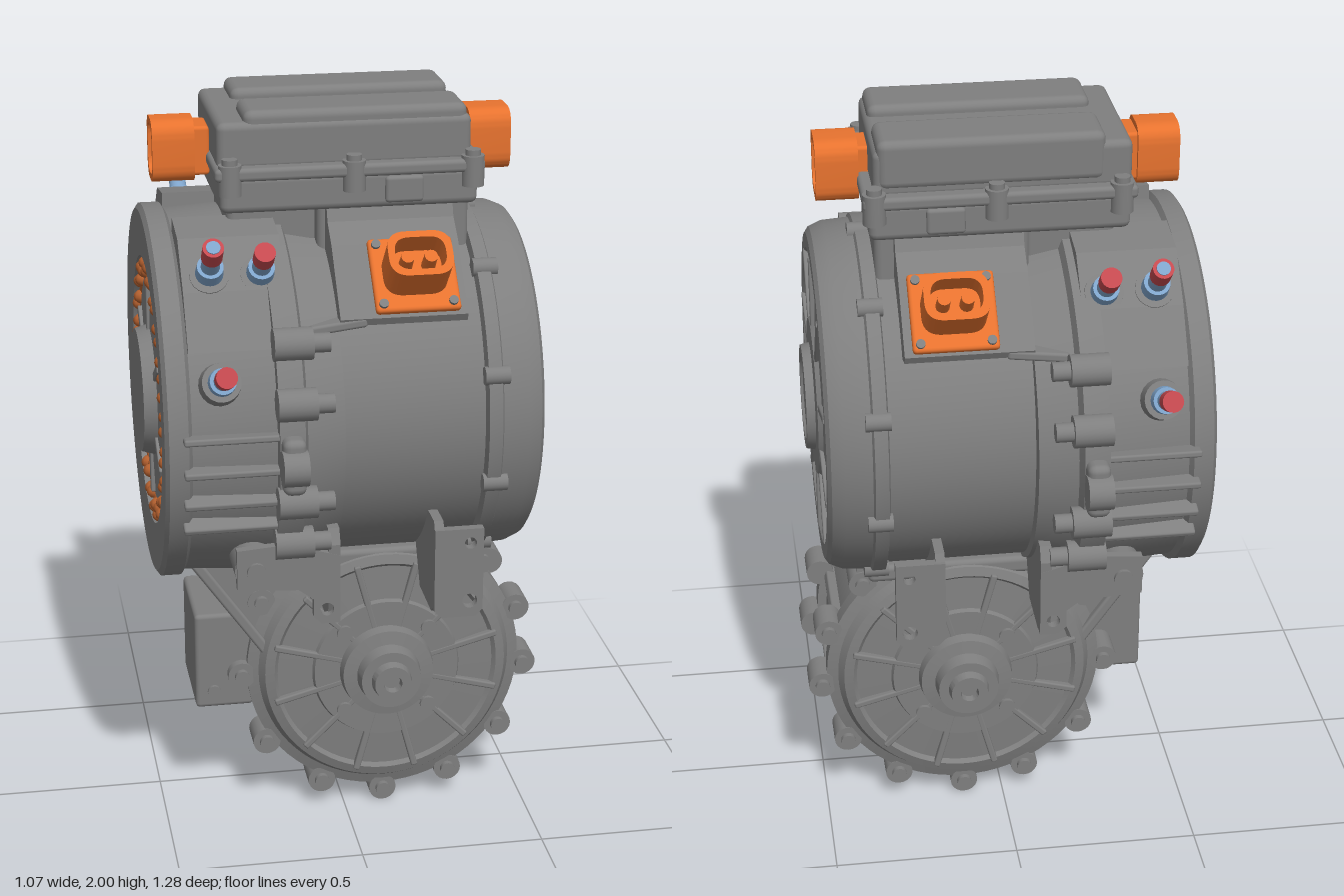
import * as THREE from 'three';
import { toCreasedNormals } from 'three/addons/utils/BufferGeometryUtils.js';
import { RoundedBoxGeometry } from 'three/addons/geometries/RoundedBoxGeometry.js';

const mat = (name, color) => Object.assign(new THREE.MeshStandardMaterial({ color }), { name });
const V = (x, y, z) => new THREE.Vector3(x, y, z);
const UP = V(0, 1, 0);
const rad = THREE.MathUtils.degToRad;

export function createModel() {
  const model = new THREE.Group();
  model.name = 'electricDriveUnit';
  const grey = mat('castGrey', 0x7f7f7f), orange = mat('connectorOrange', 0xe8732f);
  const blue = mat('fittingBlue', 0x7fa5cc), red = mat('capRed', 0xc64a50), copper = mat('windingCopper', 0xb4602f);

  const add = (name, geo, m = grey, parent = model) => {
    const mesh = new THREE.Mesh(geo, m);
    mesh.name = name;
    parent.add(mesh);
    return mesh;
  };
  const box = (name, w, h, d, x, y, z, r = 0.01, m = grey, parent = model) => {
    const b = add(name, new RoundedBoxGeometry(w, h, d, 2, r), m, parent);
    b.position.set(x, y, z);
    return b;
  };
  const rod = (name, a, b, r1, r2 = r1, m = grey, parent = model, seg = 20) => {
    const dir = b.clone().sub(a);
    const c = add(name, new THREE.CylinderGeometry(r2, r1, dir.length(), seg), m, parent);
    c.position.copy(a).add(b).multiplyScalar(0.5);
    c.quaternion.setFromUnitVectors(UP, dir.normalize());
    return c;
  };
  const lathe = (pts) => toCreasedNormals(
    new THREE.LatheGeometry(pts.map(p => new THREE.Vector2(...p)), 72), 0.55);
  const shapeOf = (pts) => new THREE.Shape(pts.map(p => new THREE.Vector2(...p)));
  // Prism with a [z, y] section, running from x0 to x1
  const prismX = (name, pts, x0, x1) => add(name,
    new THREE.ExtrudeGeometry(shapeOf(pts), { depth: x1 - x0, bevelEnabled: false })
      .rotateY(-Math.PI / 2).translate(x1, 0, 0));
  // Prism with an [x, y] section, running from z0 to z1, with round holes [x, y, r]
  const prismZ = (name, pts, z0, z1, holes = []) => {
    const s = shapeOf(pts);
    for (const [x, y, r] of holes) s.holes.push(new THREE.Path().absarc(x, y, r, 0, Math.PI * 2, true));
    return add(name, new THREE.ExtrudeGeometry(s, { depth: z1 - z0, bevelEnabled: false }).translate(0, 0, z0));
  };
  // Point on a circle around the motor axis
  const CY = 1.2;
  const around = (x, r, a, zs = 1) => V(x, CY + r * Math.sin(a), r * Math.cos(a) * zs);

  // ---- Motor: end housing, flange, barrel and cap on the x axis
  const motorLathe = (name, pts, zs = 1) => {
    const m = add(name, lathe(pts).rotateZ(-Math.PI / 2).scale(1, 1, zs));
    m.position.y = CY;
  };
  motorLathe('endHousing', [[0, -0.53], [0.165, -0.53], [0.175, -0.495], [0.305, -0.49], [0.305, -0.47], [0.355, -0.47],
    [0.36, -0.505], [0.485, -0.51], [0.5, -0.5], [0.5, -0.45], [0.485, -0.44], [0.5, -0.2], [0, -0.2]], 1.04);
  motorLathe('jointFlange', [[0, -0.225], [0.505, -0.225], [0.505, -0.16], [0.48, -0.15], [0.46, -0.05], [0, -0.05]], 1.11);
  motorLathe('motorBarrel', [[0, -0.1], [0.46, -0.1], [0.46, 0.325], [0.485, 0.33], [0.485, 0.365], [0.475, 0.37],
    [0.47, 0.44], [0.455, 0.475], [0.44, 0.485], [0.4, 0.485], [0.39, 0.472], [0.22, 0.478], [0.21, 0.49],
    [0.145, 0.492], [0.14, 0.515], [0.115, 0.515], [0.11, 0.508], [0, 0.508]]);
  for (let i = 0; i < 10; i++) {
    const a = rad(18 + 36 * i), rib = box('capRib', 0.025, 0.27, 0.02, 0, 0, 0, 0.004);
    rib.position.copy(around(0.476, 0.27, a));
    rib.rotation.x = Math.PI / 2 - a;
    const p = around(0.32, 0.475, a);
    rod('capBolt', p, p.clone().setX(0.385), 0.024);
  }
  // Copper winding seen in the open end
  const ring = add('windingRing', new THREE.TorusGeometry(0.33, 0.018, 8, 60).rotateY(Math.PI / 2).scale(1, 1, 1.04), copper);
  ring.position.set(-0.475, CY, 0);
  for (let i = 0; i < 44; i++) {
    const a = i / 44 * Math.PI * 2;
    add('windingLoop', new THREE.SphereGeometry(0.019, 8, 6), copper)
      .position.copy(around(-0.491, 0.33 + (i % 2 ? 0.01 : -0.01), a, 1.04));
  }
  for (let i = 0; i < 6; i++) {
    const a = rad(60 * i + 30), rib = box('endPlateRib', 0.025, 0.13, 0.025, 0, 0, 0, 0.004);
    rib.position.copy(around(-0.49, 0.23, a));
    rib.rotation.x = Math.PI / 2 - a;
  }
  // Flange bolts, lugs and cooling ribs, mirrored front and back
  for (const s of [1, -1]) {
    for (const deg of [-32, -15, 15, 32]) {
      const p = around(-0.23, 0.51, rad(deg), 1.1 * s);
      rod('flangeEar', p, p.clone().setX(-0.13), 0.042);
      rod('flangeBolt', p.clone().setX(-0.13), p.clone().setX(-0.085), 0.025);
    }
    rod('sideLug', V(-0.225, 1.18, 0.59 * s), V(-0.16, 1.18, 0.59 * s), 0.046);
    box('sideLugWeb', 0.06, 0.15, 0.08, -0.192, 1.18, 0.56 * s, 0.02);
    for (const deg of [-24, -15, -5, 5]) {
      const rib = box('housingRib', 0.25, 0.018, 0.06, 0, 0, 0, 0.006);
      rib.position.copy(around(-0.34, 0.5, rad(deg), 1.04 * s));
      rib.rotation.x = -rad(deg) * s;
    }
    // Pad under the coolant fittings
    prismX('fittingPad', [[0.12 * s, 1.71], [0.25 * s, 1.69], [0.36 * s, 1.58], [0.45 * s, 1.45], [0.3 * s, 1.4], [0.1 * s, 1.5]], -0.44, -0.18);
    rod('housingFoot', V(-0.28, 0.86, 0.3 * s), V(-0.28, 0.86, 0.48 * s), 0.055);
    rod('housingFootBolt', V(-0.28, 0.86, 0.48 * s), V(-0.28, 0.86, 0.5 * s), 0.025);
  }

  // ---- Coolant fittings: boss, blue pipe and red cap along a direction
  const fitting = (base, dir, len, bore) => {
    const g = new THREE.Group();
    g.name = 'coolantFitting';
    g.position.copy(base);
    g.quaternion.setFromUnitVectors(UP, dir.normalize());
    model.add(g);
    rod('fittingBoss', V(0, -0.05, 0), V(0, 0.02, 0), 0.056, 0.05, grey, g);
    rod('fittingPipe', V(0, 0.01, 0), V(0, len * 0.7, 0), 0.027, 0.022, blue, g);
    rod('fittingCollar', V(0, len * 0.18, 0), V(0, len * 0.4, 0), 0.036, 0.034, blue, g);
    rod('fittingCap', V(0, len * 0.68, 0), V(0, len, 0), 0.027, 0.027, red, g);
    if (bore) rod('fittingBore', V(0, len, 0), V(0, len + 0.003, 0), 0.018, 0.018, blue, g);
  };
  for (const s of [1, -1]) {
    fitting(V(-0.37, 1.6, 0.315 * s), V(0, 0.7, 0.7 * s), 0.165, true);
    fitting(V(-0.24, 1.6, 0.315 * s), V(0, 0.65, 0.75 * s), 0.15, false);
    fitting(V(-0.365, 1.385, 0.5 * s), V(0, 0.42, 0.9 * s), 0.14, false);
  }

  // ---- Neck and connector shoulders above the barrel
  const half = [[0.2, 1.78], [0.23, 1.71], [0.29, 1.665], [0.43, 1.51], [0.42, 1.49], [0.34, 1.47]];
  prismX('connectorShoulder', [...half, ...half.map(([z, y]) => [-z, y]).reverse()], -0.05, 0.28);
  box('boxNeck', 0.4, 0.2, 0.38, 0.13, 1.67, 0, 0.02);
  box('boxFoot', 0.24, 0.16, 0.3, -0.18, 1.67, 0, 0.02);
  for (const s of [1, -1]) box('shoulderBrace', 0.16, 0.025, 0.12, -0.06, 1.49, 0.37 * s, 0.008).rotation.z = 0.12;

  // ---- Inverter box on top
  box('boxTray', 0.67, 0.1, 0.46, 0.01, 1.79, 0, 0.02);
  box('boxRim', 0.7, 0.035, 0.49, 0.01, 1.845, 0, 0.012);
  box('boxLid', 0.66, 0.125, 0.42, 0, 1.91, 0, 0.02);
  for (const s of [1, -1]) {
    box('lidRidge', 0.58, 0.13, 0.165, 0.03, 1.935, 0.127 * s - 0.006, 0.022);
    box('boxTab', 0.1, 0.07, 0.03, 0.15, 1.79, 0.225 * s, 0.01);
    for (const x of [-0.3, 0.02, 0.33]) {
      rod('lidBoltEar', V(x, 1.79, 0.225 * s), V(x, 1.87, 0.225 * s), 0.03);
      rod('lidBolt', V(x, 1.87, 0.225 * s), V(x, 1.885, 0.225 * s), 0.02);
    }
  }

  // ---- Orange connectors: open rounded shell with pins
  const roundRect = (path, w, h, r) => {
    const x = w / 2, y = h / 2;
    path.moveTo(-x + r, -y).lineTo(x - r, -y).quadraticCurveTo(x, -y, x, -y + r).lineTo(x, y - r)
      .quadraticCurveTo(x, y, x - r, y).lineTo(-x + r, y).quadraticCurveTo(-x, y, -x, y - r)
      .lineTo(-x, -y + r).quadraticCurveTo(-x, -y, -x + r, -y);
    return path;
  };
  const connector = (base, dir, w, h, len, flange) => {
    const g = new THREE.Group();
    g.name = 'powerConnector';
    g.position.copy(base);
    g.quaternion.setFromUnitVectors(UP, dir.normalize());
    model.add(g);
    const s = roundRect(new THREE.Shape(), w, h, 0.05);
    s.holes.push(roundRect(new THREE.Path(), w - 0.035, h - 0.035, 0.04));
    add('connectorShell', toCreasedNormals(new THREE.ExtrudeGeometry(s, { depth: len, bevelEnabled: false }).rotateX(-Math.PI / 2), 0.6), orange, g);
    box('connectorFloor', w - 0.02, 0.03, h - 0.02, 0, len * 0.3, 0, 0.01, orange, g);
    for (const x of [-0.03, 0.03]) rod('connectorPin', V(x, 0, 0), V(x, len * 0.85, 0), 0.02, 0.017, orange, g, 12);
    if (!flange) return;
    box('connectorFlange', 0.22, 0.025, 0.21, 0, 0.005, 0, 0.01, orange, g);
    for (const x of [-0.09, 0.09]) for (const z of [-0.085, 0.085])
      rod('connectorScrew', V(x, 0, z), V(x, 0.026, z), 0.012, 0.012, grey, g, 12);
  };
  for (const s of [1, -1]) connector(V(0.15, 1.595, 0.36 * s), V(0, 0.7, 0.7 * s), 0.165, 0.125, 0.125, true);
  connector(V(0.355, 1.865, 0), V(1, 0, 0), 0.165, 0.15, 0.11, false);
  connector(V(-0.37, 1.865, 0), V(-1, 0, 0), 0.165, 0.135, 0.11, false);
  for (const x of [-0.355, 0.345]) box('connectorCollar', 0.05, 0.13, 0.11, x, 1.865, 0, 0.01, orange);

  // ---- Gearbox: drum on the z axis with ribbed faces
  const GX = 0.11, GY = 0.435;
  const side = [[0, 0.33], [0.022, 0.33], [0.025, 0.35], [0.05, 0.35], [0.055, 0.325], [0.082, 0.325], [0.088, 0.285], [0.125, 0.28],
    [0.13, 0.25], [0.2, 0.25], [0.205, 0.238], [0.3, 0.232], [0.31, 0.243], [0.335, 0.235], [0.35, 0.21], [0.38, 0.2], [0.38, 0.15], [0.355, 0.145]];
  const drum = add('gearboxDrum', lathe([...side.map(([r, z]) => [r, -z]), ...side.slice().reverse()]).rotateX(Math.PI / 2));
  drum.position.set(GX, GY, 0);
  for (const deg of [46, 20, -5, -34, -62, -90, -116, -146, -178, 149]) {
    const a = rad(deg), x = GX + 0.395 * Math.cos(a), y = GY + 0.395 * Math.sin(a);
    const rib = box('drumRib', 0.04, 0.025, 0.36, GX + 0.36 * Math.cos(a), GY + 0.36 * Math.sin(a), 0, 0.006);
    rib.rotation.z = a;
    for (const s of [1, -1]) {
      rod('drumBoltEar', V(x, y, 0.115 * s), V(x, y, 0.205 * s), 0.038);
      rod('drumBolt', V(x, y, 0.205 * s), V(x, y, 0.22 * s), 0.02);
    }
  }
  for (const s of [1, -1]) {
    for (let i = 0; i < 12; i++) {
      const a = rad(30 * i + 15);
      box('gearboxFaceRib', 0.2, 0.018, 0.022, GX + 0.22 * Math.cos(a), GY + 0.22 * Math.sin(a), 0.24 * s, 0.005).rotation.z = a;
    }
    for (const deg of [45, 135, 225, 315]) {
      const x = GX + 0.165 * Math.cos(rad(deg)), y = GY + 0.165 * Math.sin(rad(deg));
      rod('gearboxFaceBolt', V(x, y, 0.24 * s), V(x, y, 0.26 * s), 0.022);
    }
  }

  // ---- Casting between motor and gearbox
  prismZ('transferCasting', [[-0.46, 0.9], [-0.43, 0.77], [-0.24, 0.5], [0.1, 0.4], [0.4, 0.6], [0.4, 0.95], [-0.4, 0.95]], -0.2, 0.2);
  for (const s of [1, -1]) {
    box('castingEdge', 0.36, 0.03, 0.05, -0.32, 0.645, 0.195 * s, 0.008).rotation.z = rad(-55);
    box('castingStep', 0.5, 0.05, 0.06, 0.12, 0.76, 0.2 * s, 0.015);
  }
  box('sideCover', 0.16, 0.28, 0.28, -0.33, 0.46, 0.04, 0.012);
  rod('sideCoverBolt', V(-0.36, 0.37, 0.17), V(-0.36, 0.37, 0.19), 0.018);

  // ---- Mounting brackets hanging under the barrel
  for (const s of [1, -1]) {
    const web = [[0.24, 0.96], [0.47, 0.96], [0.49, 0.92], [0.485, 0.76], [0.465, 0.71], [0.45, 0.695], [0.3, 0.7], [0.24, 0.8]].map(([z, y]) => [z * s, y]);
    prismX('bracketWeb', web, -0.09, -0.06);
    prismX('bracketWeb', web, 0.19, 0.215);
    const z0 = s > 0 ? 0.465 : -0.49, z1 = z0 + 0.025;
    prismZ('rearBracketPlate', [[-0.33, 0.92], [-0.33, 0.81], [-0.17, 0.8], [-0.13, 0.77], [-0.13, 0.72], [-0.11, 0.7], [-0.06, 0.7], [-0.06, 0.89], [-0.2, 0.93]], z0, z1, [[-0.095, 0.74, 0.018]]);
    prismZ('frontBracketPlate', [[0.19, 0.94], [0.19, 0.71], [0.21, 0.69], [0.3, 0.69], [0.32, 0.71], [0.32, 0.94]], z0, z1, [[0.285, 0.735, 0.02], [0.285, 0.9, 0.016]]);
  }
  return model;
}
